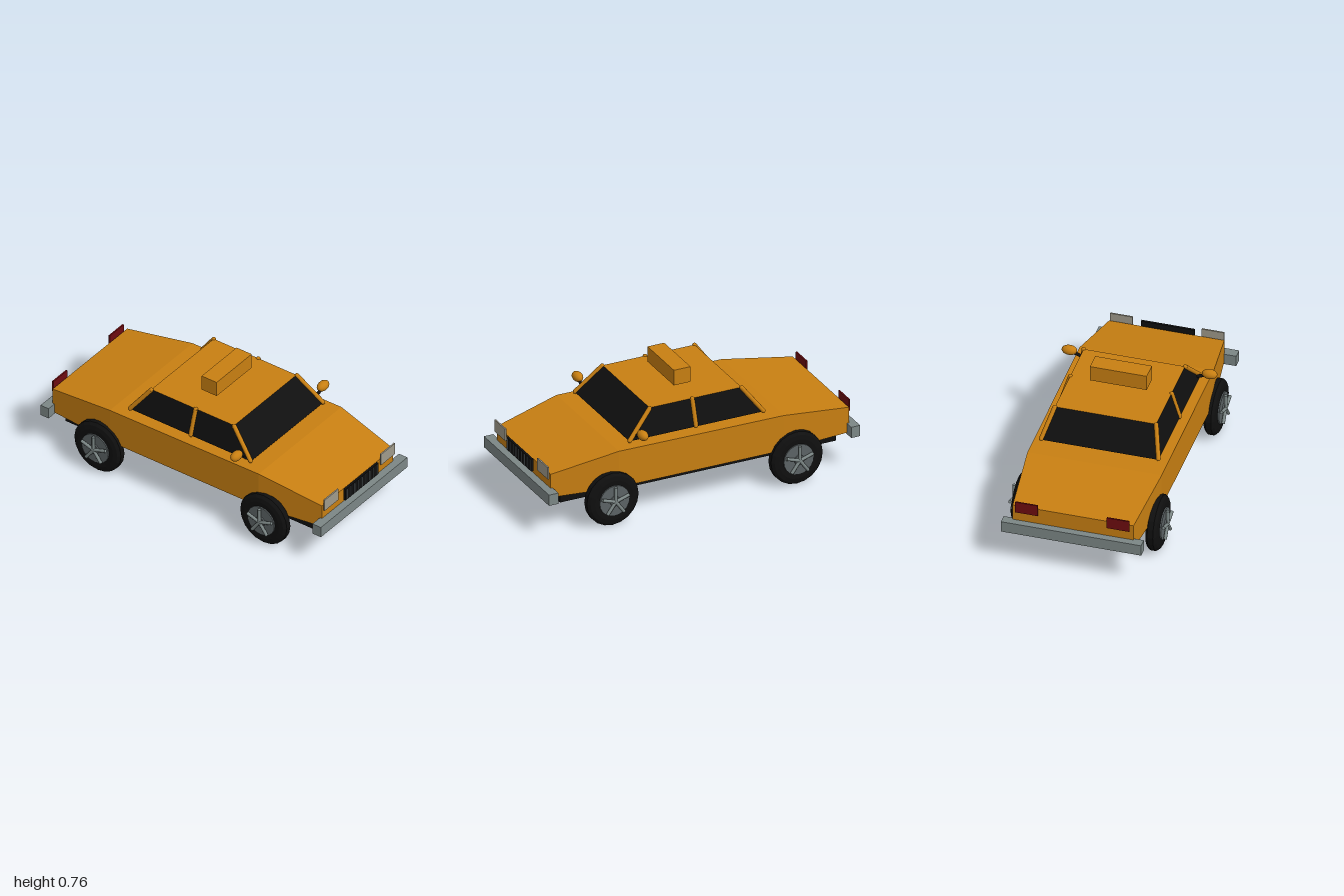
import * as THREE from 'three';

const mat = (name, color) => {
  const m = new THREE.MeshStandardMaterial({ color });
  m.name = name;
  return m;
};

export function createModel() {
  const orange = mat('orange paint', 0xc87f12);
  const black = mat('black', 0x0f0f0f);
  const metal = mat('bumper metal', 0x7c8786);
  const rimGrey = mat('rim grey', 0x5c6365);
  const lampWhite = mat('headlight glass', 0x9f9a8b);
  const lampRed = mat('tail light red', 0x6e0c10);

  const car = new THREE.Group();
  car.name = 'car';

  const add = (name, geometry, material, parent = car) => {
    const mesh = new THREE.Mesh(geometry, material);
    mesh.name = name;
    parent.add(mesh);
    return mesh;
  };
  // Box given by its lower and upper limits
  const box = (name, x0, x1, y0, y1, z0, z1, material, parent = car) => {
    const g = new THREE.BoxGeometry(x1 - x0, y1 - y0, z1 - z0);
    g.translate((x0 + x1) / 2, (y0 + y1) / 2, (z0 + z1) / 2);
    return add(name, g, material, parent);
  };
  // Round bar between two points
  const bar = (name, a, b, radius, material, parent = car) => {
    const p = new THREE.Vector3(...a), q = new THREE.Vector3(...b);
    const mesh = add(name, new THREE.CylinderGeometry(radius, radius, p.distanceTo(q), 10), material, parent);
    mesh.position.copy(p).add(q).multiplyScalar(0.5);
    mesh.quaternion.setFromUnitVectors(new THREE.Vector3(0, 1, 0), q.sub(p).normalize());
    return mesh;
  };
  // Unit box whose corners are moved by a rule, with flat faces
  const shapedBox = (depthSegments, rule) => {
    const g = new THREE.BoxGeometry(1, 1, 1, 1, 1, depthSegments).toNonIndexed();
    const p = g.attributes.position;
    for (let i = 0; i < p.count; i++) {
      p.setXYZ(i, ...rule(Math.sign(p.getX(i)), p.getY(i) > 0, p.getZ(i)));
    }
    g.computeVertexNormals();
    return g;
  };

  // Body: stations from rear to front as [z, half width, top height]
  const stations = [[-0.957, 0.362, 0.385], [-0.52, 0.402, 0.448], [0.54, 0.402, 0.456], [0.95, 0.345, 0.374]];
  add('body', shapedBox(3, (sx, top, z) => {
    const [sz, w, h] = stations[Math.round((z + 0.5) * 3)];
    return [sx * w, top ? h : 0.225, sz];
  }), orange);
  box('chassis', -0.337, 0.337, 0.175, 0.226, -0.885, 0.885, black);

  // Cabin: dark glass on the sides, painted roof
  add('cabin', shapedBox(1, (sx, top, z) => top
    ? [sx * 0.303, 0.636, z > 0 ? 0.293 : -0.297]
    : [sx * 0.353, 0.477, z > 0 ? 0.448 : -0.418]),
  [black, black, orange, black, black, black]);
  box('roofSign', -0.17, 0.17, 0.67, 0.767, -0.036, 0.071, orange);

  // Bumpers and grille
  box('frontBumper', -0.42, 0.42, 0.216, 0.285, 0.937, 0.997, metal);
  box('rearBumper', -0.42, 0.42, 0.216, 0.285, -1, -0.943, metal);
  box('grille', -0.16, 0.16, 0.316, 0.395, 0.968, 0.982, black);
  for (let i = -4; i <= 4; i++) {
    bar('grilleBar', [i * 0.0365, 0.322, 0.983], [i * 0.0365, 0.389, 0.983], 0.004, rimGrey);
  }

  // Wheel, built with its axle along y and its outer side up
  const tyreProfile = [[0.094, -0.037], [0.125, -0.038], [0.15, -0.032], [0.166, -0.017],
    [0.166, 0.017], [0.15, 0.032], [0.125, 0.038], [0.094, 0.037]].map(([r, y]) => new THREE.Vector2(r, y));
  const tyreGeometry = new THREE.LatheGeometry(tyreProfile, 20).toNonIndexed();
  tyreGeometry.computeVertexNormals();
  const makeWheel = () => {
    const wheel = new THREE.Group();
    wheel.name = 'wheel';
    add('tyre', tyreGeometry, black, wheel);
    add('rim', new THREE.CylinderGeometry(0.096, 0.096, 0.09, 20), rimGrey, wheel);
    bar('hub', [0, -0.052, 0], [0, 0.055, 0], 0.032, rimGrey, wheel);
    for (let i = 0; i < 5; i++) {
      const a = i * Math.PI * 2 / 5;
      bar('spoke', [0, 0.058, 0], [0.09 * Math.cos(a), 0.058, 0.09 * Math.sin(a)], 0.01, metal, wheel);
    }
    return wheel;
  };

  // Parts that come in left and right pairs
  for (const s of [1, -1]) {
    for (const z of [0.588, -0.594]) {
      const wheel = makeWheel();
      wheel.position.set(s * 0.402, 0.168, z);
      wheel.rotation.z = -s * Math.PI / 2;
      if (s > 0) wheel.rotation.x = 0;
      // Turn so that one spoke points up
      wheel.children.forEach((c) => c.updateMatrix());
      if (s > 0) wheel.rotateY(Math.PI);
      car.add(wheel);
    }

    const lampX = [s * 0.207, s * 0.342].sort((a, b) => a - b);
    box('headlight', ...lampX, 0.344, 0.42, 0.958, 0.967, lampWhite);
    box('tailLight', ...lampX, 0.35, 0.422, -0.975, -0.966, lampRed);

    // Pillars: [base z, top z]
    for (const [z0, z1] of [[0.445, 0.295], [0.02, 0.02], [-0.412, -0.297]]) {
      const base = [s * 0.351, 0.48, z0], top = [s * 0.304, 0.633, z1];
      bar('pillar', base, top, 0.0135, orange);
      for (const end of [base, top]) {
        add('pillarEnd', new THREE.SphereGeometry(0.0135, 10, 8), orange).position.set(...end);
      }
    }

    // Door mirror
    bar('mirrorStalk', [s * 0.335, 0.498, 0.4], [s * 0.41, 0.527, 0.396], 0.01, black);
    const mirror = add('mirror', new THREE.SphereGeometry(1, 18, 12), orange);
    mirror.scale.set(0.046, 0.029, 0.03);
    mirror.position.set(s * 0.42, 0.535, 0.396);
  }
  return car;
}
